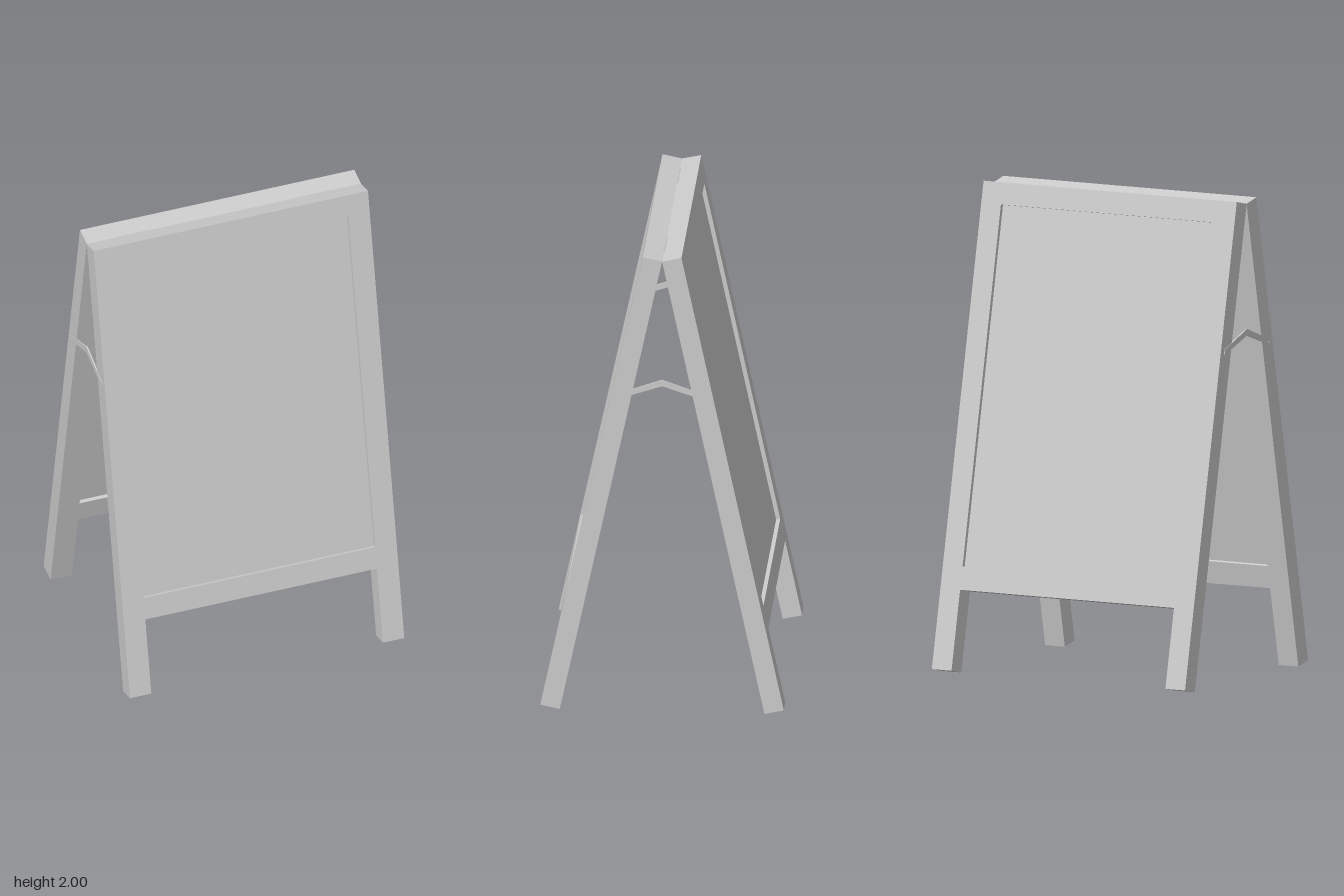
import * as THREE from 'three';

const grey = new THREE.MeshStandardMaterial({ color: 0xcccccc });
grey.name = 'light grey';

const TILT = 0.2102;      // lean of each leaf
const APEX = 1.983;       // height of the hinge line
const LENGTH = 2.028;     // leaf length along its slope
const THICK = 0.082;      // frame thickness
const HALF_W = 0.605;     // half of the outer width
const HALF_OPEN = 0.511;  // half of the opening width
const RECESS = 0.0175;    // board set back from both frame faces

function mesh(geometry, name) {
  const m = new THREE.Mesh(geometry, grey);
  m.name = name;
  return m;
}

function polygon(points, Type = THREE.Shape) {
  return new Type(points.map(([x, y]) => new THREE.Vector2(x, y)));
}

// One leaf: frame with two legs and a recessed board, hung from the hinge line
function createLeaf(name) {
  const leaf = new THREE.Group();
  leaf.name = name;
  const top = -0.092, bottom = -1.595, rail = -1.692;

  const outline = polygon([
    [-HALF_W, 0], [-HALF_W, -LENGTH], [-HALF_OPEN, -LENGTH], [-HALF_OPEN, rail],
    [HALF_OPEN, rail], [HALF_OPEN, -LENGTH], [HALF_W, -LENGTH], [HALF_W, 0],
  ]);
  outline.holes.push(polygon([
    [-HALF_OPEN, top], [HALF_OPEN, top], [HALF_OPEN, bottom], [-HALF_OPEN, bottom],
  ], THREE.Path));
  leaf.add(mesh(new THREE.ExtrudeGeometry(outline, { depth: THICK, bevelEnabled: false }), 'frame'));

  const board = mesh(new THREE.BoxGeometry(2 * HALF_OPEN, top - bottom, THICK - 2 * RECESS), 'board');
  board.position.set(0, (top + bottom) / 2, THICK / 2);
  leaf.add(board);

  leaf.rotation.x = -TILT;
  leaf.position.y = APEX;
  return leaf;
}

// Folding brace on one side, with a pin at each end
function createBrace(side) {
  const brace = new THREE.Group();
  brace.name = side > 0 ? 'leftBrace' : 'rightBrace';
  const shape = polygon([
    [-0.184, 1.373], [0, 1.434], [0.184, 1.373], [0.184, 1.396], [0, 1.461], [-0.184, 1.396],
  ]);
  const arm = mesh(new THREE.ExtrudeGeometry(shape, { depth: 0.006, bevelEnabled: false }), 'braceArm');
  arm.rotation.y = Math.PI / 2;
  arm.position.x = side * 0.604 - 0.003;
  brace.add(arm);
  for (const z of [-0.18, 0.18]) {
    const pin = mesh(new THREE.CylinderGeometry(0.005, 0.005, 0.012, 12), 'bracePin');
    pin.rotation.z = Math.PI / 2;
    pin.position.set(side * 0.604, 1.384, z);
    brace.add(pin);
  }
  return brace;
}

export function createModel() {
  const model = new THREE.Group();
  model.name = 'sandwichBoard';

  model.add(createLeaf('frontLeaf'));
  const back = new THREE.Group();
  back.name = 'backHalf';
  back.rotation.y = Math.PI;
  back.add(createLeaf('backLeaf'));
  model.add(back);

  for (const side of [-1, 1]) {
    model.add(createBrace(side));
    // Hinge barrel in the valley between the leaves
    const hinge = mesh(new THREE.CylinderGeometry(0.003, 0.003, 0.17, 10), 'hinge');
    hinge.rotation.z = Math.PI / 2;
    hinge.position.set(side * 0.4, APEX, 0);
    model.add(hinge);
  }
  return model;
}
